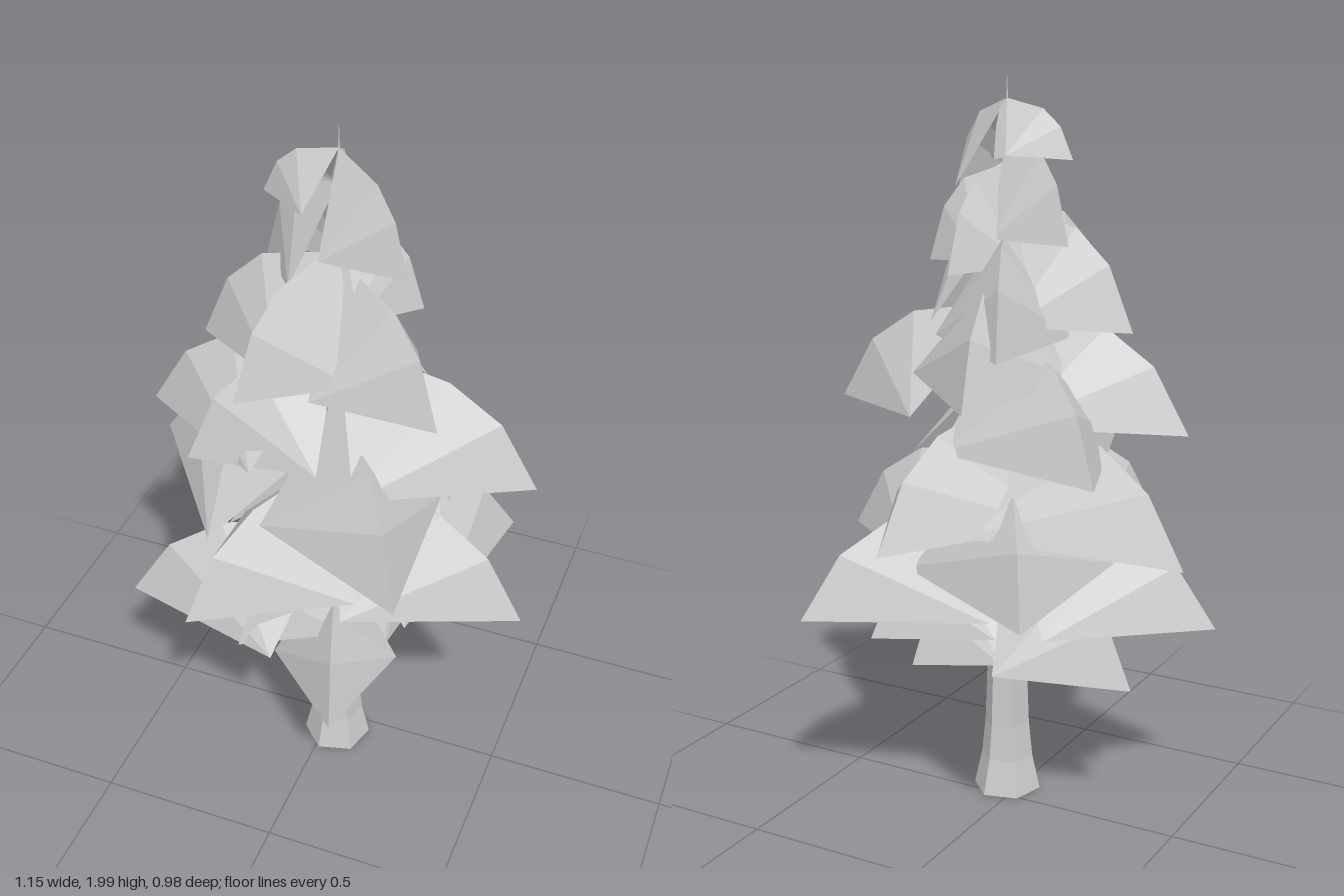
import * as THREE from 'three';

const CX = 0.035, CZ = 0.06; // trunk axis

// Branch tips as [x, y, z], lowest tier first
const TIPS = [
  [0.14, 0.385, 0.40], [0.21, 0.41, -0.16], [-0.38, 0.40, -0.02],
  [0.29, 0.50, -0.24], [-0.52, 0.52, 0.22], [-0.14, 0.55, 0.35], [0.415, 0.575, -0.385],
  [0.575, 0.69, 0.13], [-0.27, 0.68, -0.435], [-0.22, 0.73, 0.49],
  [-0.58, 0.81, -0.17], [0.10, 0.83, -0.49], [0.335, 0.93, 0.47],
  [-0.38, 1.01, -0.265], [0.57, 1.085, 0.07], [-0.49, 1.09, 0.06],
  [-0.285, 1.105, 0.29], [-0.085, 1.19, -0.39],
  [-0.12, 1.30, -0.28], [0.355, 1.32, 0.24], [-0.33, 1.34, 0.06], [-0.12, 1.36, 0.355],
  [0.08, 1.49, -0.17], [0.235, 1.50, 0.0], [-0.185, 1.56, -0.02],
  [0.25, 1.68, 0.18], [-0.16, 1.77, 0.05], [0.03, 1.77, -0.02],
];

// Drooping tent: an arched ridge with one folded sheet on each side
function branchGeometry([x, y, z]) {
  const R = Math.hypot(x - CX, z - CZ);
  const ux = (x - CX) / R, uz = (z - CZ) / R;
  const rise = Math.min(0.31, 1.92 - y, 0.1 + 0.75 * R);
  const at = (along, side, h) => [
    CX + R * (ux * along - uz * side), y + h, CZ + R * (uz * along + ux * side)];
  const ridge = [at(0, 0, rise), at(0.55, 0, rise * 0.84), at(0.81, 0, rise * 0.55), at(1, 0, 0)];
  const pos = [];
  for (const s of [1, -1]) {
    const corner = at(0.27, s * 0.48, 0.06 * R);
    for (let i = 0; i < 3; i++) {
      const a = ridge[i], b = ridge[i + 1];
      pos.push(...(s > 0 ? [a, corner, b] : [a, b, corner]).flat());
    }
  }
  const g = new THREE.BufferGeometry();
  g.setAttribute('position', new THREE.Float32BufferAttribute(pos, 3));
  g.computeVertexNormals();
  return g;
}

export function createModel() {
  const tree = new THREE.Group();
  tree.name = 'pineTree';
  const grey = new THREE.MeshStandardMaterial({
    color: 0xcccccc, flatShading: true, side: THREE.DoubleSide });
  grey.name = 'light grey';

  // Flared six-sided trunk, tapering to a needle at the top
  const profile = [[0, 0], [0.095, 0], [0.073, 0.1], [0.063, 0.2], [0.055, 0.42], [0.043, 0.8],
    [0.022, 1.4], [0.004, 1.88], [0, 1.99]].map(([r, h]) => new THREE.Vector2(r, h));
  const trunk = new THREE.Mesh(new THREE.LatheGeometry(profile, 6, -0.26), grey);
  trunk.name = 'trunk';
  trunk.position.set(CX, 0, CZ);
  tree.add(trunk);

  // Foliage
  const foliage = new THREE.Group();
  foliage.name = 'foliage';
  TIPS.forEach((tip, i) => {
    const branch = new THREE.Mesh(branchGeometry(tip), grey);
    branch.name = `branch${i + 1}`;
    foliage.add(branch);
  });
  tree.add(foliage);
  return tree;
}
